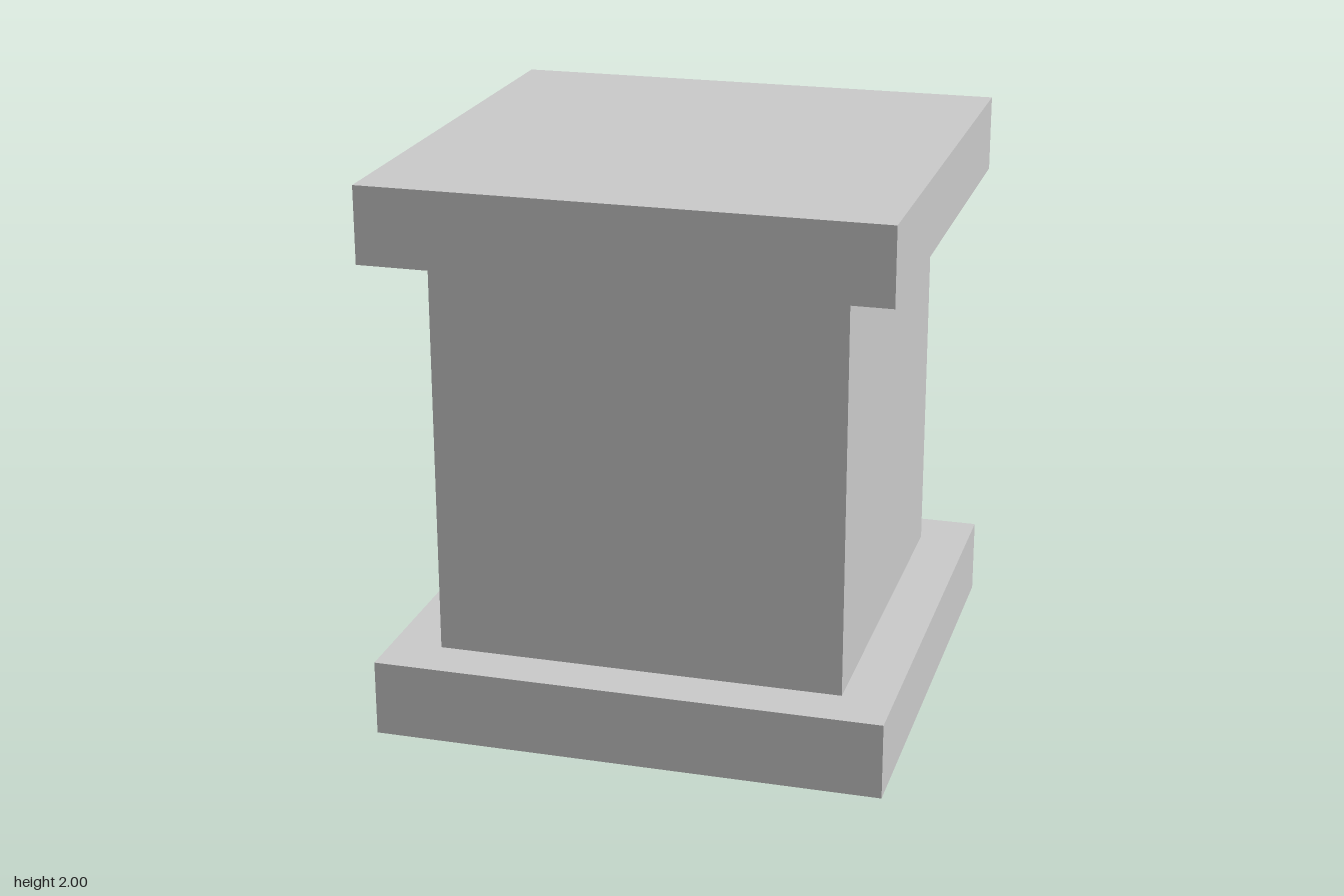
import * as THREE from 'three';

const PLATE_WIDTH = 20 / 11;
const PLATE_HEIGHT = 3 / 11;
const SHAFT_WIDTH = 16 / 11;
const HEIGHT = 2;

export function createModel() {
  const group = new THREE.Group();
  group.name = 'pedestal';
  const material = new THREE.MeshStandardMaterial({ color: 0xcccccc, flatShading: true });

  // Square block standing on the given level
  const addBlock = (name, width, height, bottom) => {
    const mesh = new THREE.Mesh(new THREE.BoxGeometry(width, height, width), material);
    mesh.name = name;
    mesh.position.y = bottom + height / 2;
    group.add(mesh);
  };

  addBlock('basePlate', PLATE_WIDTH, PLATE_HEIGHT, 0);
  addBlock('shaft', SHAFT_WIDTH, HEIGHT - 2 * PLATE_HEIGHT, PLATE_HEIGHT);
  addBlock('topPlate', PLATE_WIDTH, PLATE_HEIGHT, HEIGHT - PLATE_HEIGHT);

  return group;
}
